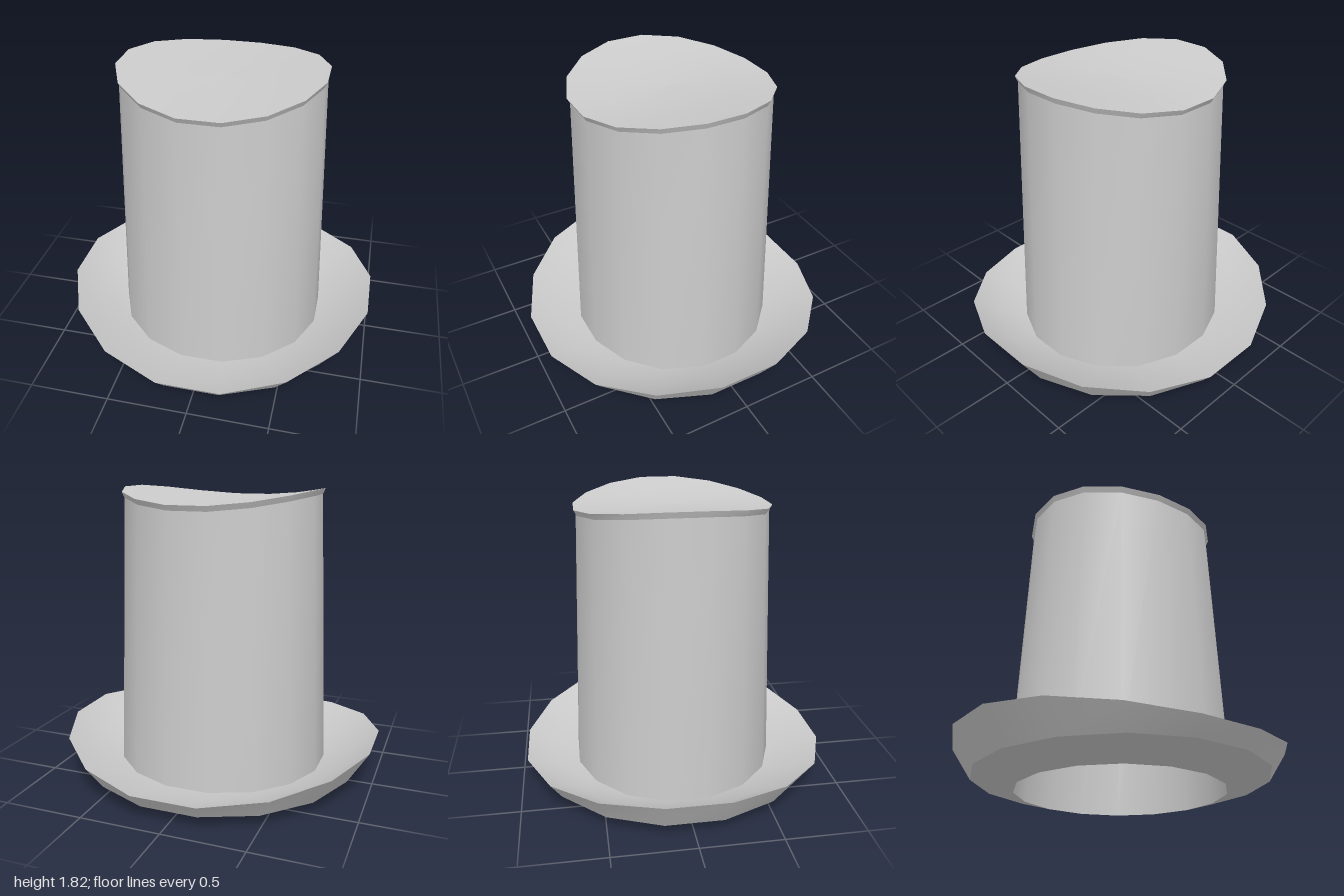
import * as THREE from 'three';

const SIDES = 16;
const HALF = Math.PI / SIDES;
const FLAT = Math.cos(HALF); // widest reach of the half-turned polygon

// Skin a stack of rings [x reach, z reach, height, extra height at the left and right ends]
function loft(name, rings, material) {
  const pos = [], index = [];
  for (const [rx, rz, y, lift] of rings) {
    for (let i = 0; i < SIDES; i++) {
      const a = HALF + i * 2 * HALF;
      const c = Math.cos(a) / FLAT, s = Math.sin(a) / FLAT;
      pos.push(rx * c, y + lift * c * c, rz * s);
    }
  }
  for (let j = 0; j < rings.length - 1; j++) {
    for (let i = 0; i < SIDES; i++) {
      const k = (i + 1) % SIDES;
      const a = j * SIDES + i, b = a + SIDES, c = j * SIDES + k, d = c + SIDES;
      index.push(a, b, c, b, d, c);
    }
  }
  const geometry = new THREE.BufferGeometry();
  geometry.setAttribute('position', new THREE.Float32BufferAttribute(pos, 3));
  geometry.setIndex(index);
  geometry.computeVertexNormals();
  const mesh = new THREE.Mesh(geometry, material);
  mesh.name = name;
  return mesh;
}

// Curved disc that dips along the front-to-back line
const disc = (rx, rz, y, lift) =>
  [1, 0.66, 0.33, 0].map((f) => [rx * f, rz * f, y, lift * f * f]);

export function createModel() {
  const hat = new THREE.Group();
  hat.name = 'topHat';
  const material = new THREE.MeshStandardMaterial({ color: 0xcccccc, side: THREE.DoubleSide });

  // Rings shared by neighbouring parts
  const hole = [0.62, 0.62, 0, 0];
  const under = [0.87, 0.885, 0.075, 0];
  const rim = [1, 0.96, 0.168, 0.115];
  const foot = [0.66, 0.632, 0.09, 0];
  const neck = [0.598, 0.573, 1.71, 0.07];
  const lip = [0.612, 0.59, 1.742, 0.073];
  const innerTop = [0.57, 0.55, 1.7, 0.07];

  // Brim: flat underside, steep turned-up edge, dished top
  hat.add(loft('brimUnderside', [hole, under], material));
  hat.add(loft('brimEdge', [under, rim], material));
  hat.add(loft('brimTop', [rim, [0.83, 0.8, 0.117, 0.042], foot], material));

  // Crown: tapered wall, small flared lip, saddle-shaped top
  hat.add(loft('crownWall', [foot, neck], material));
  hat.add(loft('crownLip', [neck, lip], material));
  hat.add(loft('crownTop', disc(...lip), material));

  // Hollow inside
  hat.add(loft('innerWall', [innerTop, hole], material));
  hat.add(loft('innerCeiling', disc(...innerTop).reverse(), material));

  return hat;
}
